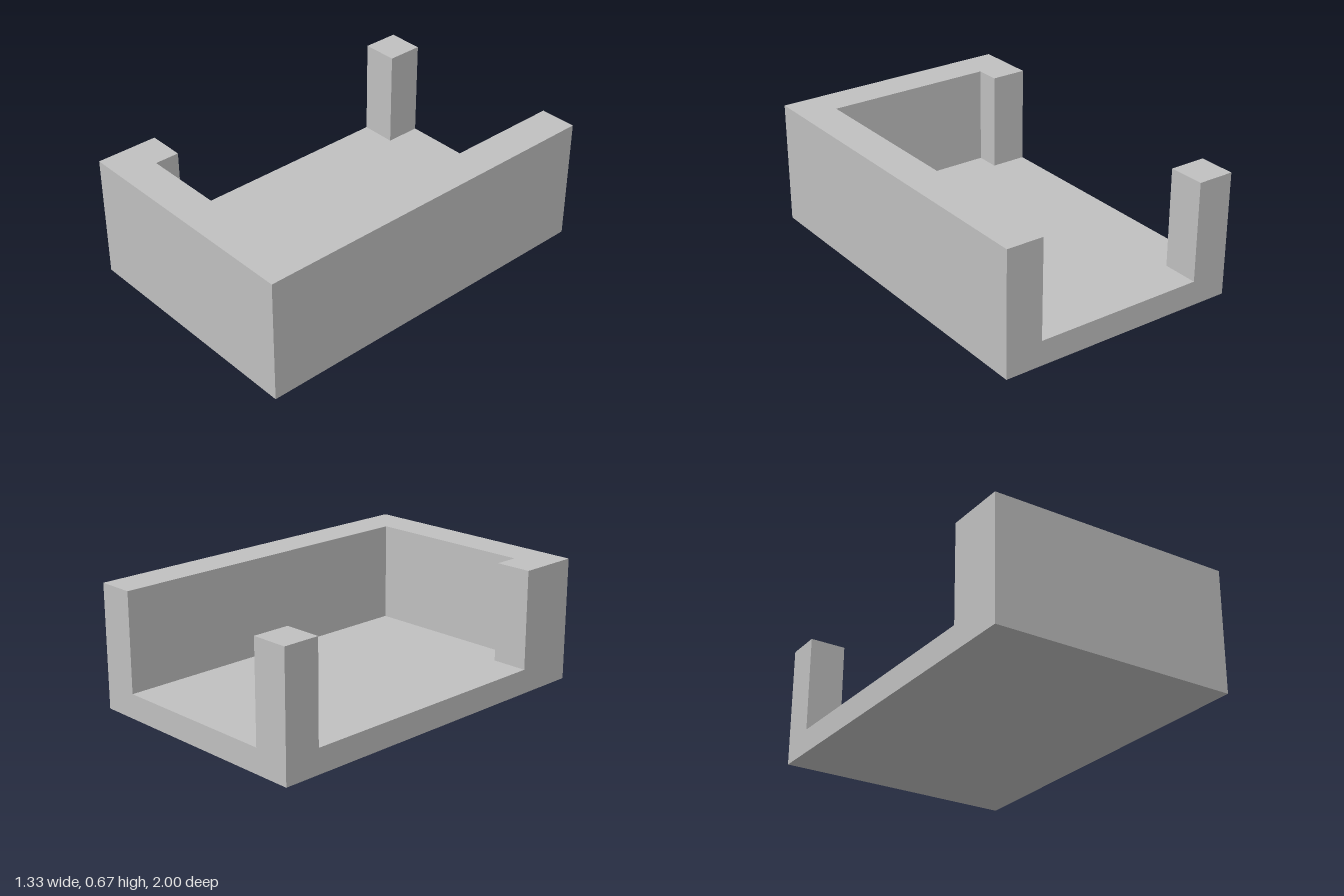
import * as THREE from 'three';

const FLOOR = 0.133, HEIGHT = 0.667, HALF_X = 0.667, HALF_Z = 1, WALL = 0.2;

export function createModel() {
  const group = new THREE.Group();
  group.name = 'openTray';
  const grey = new THREE.MeshStandardMaterial({ color: 0xc0c0c0 });
  grey.name = 'grey';

  // Raises a floor-plan outline of [x, z] points from y0 to y1
  function raise(name, plan, y0, y1) {
    const shape = new THREE.Shape(plan.map(([x, z]) => new THREE.Vector2(x, -z)));
    const geometry = new THREE.ExtrudeGeometry(shape, { depth: y1 - y0, bevelEnabled: false });
    geometry.rotateX(-Math.PI / 2).translate(0, y0, 0);
    const mesh = new THREE.Mesh(geometry, grey);
    mesh.name = name;
    group.add(mesh);
  }

  const rect = (x0, x1, z0, z1) => [[x0, z1], [x1, z1], [x1, z0], [x0, z0]];
  const innerLeft = HALF_X - WALL, innerRight = -HALF_X + WALL, innerFront = HALF_Z - WALL;

  // Base slab
  raise('floor', rect(-HALF_X, HALF_X, -HALF_Z, HALF_Z), 0, FLOOR);

  // Front and left walls in one piece, with a short return at the right front corner
  raise('cornerWalls', [
    [-HALF_X, HALF_Z], [HALF_X, HALF_Z], [HALF_X, -HALF_Z], [innerLeft, -HALF_Z],
    [innerLeft, innerFront], [innerRight, innerFront], [innerRight, 0.667], [-HALF_X, 0.667],
  ], FLOOR, HEIGHT);

  // Free-standing post at the right rear corner
  raise('rearPost', rect(-HALF_X, innerRight, -HALF_Z, -HALF_Z + WALL), FLOOR, HEIGHT);

  return group;
}
